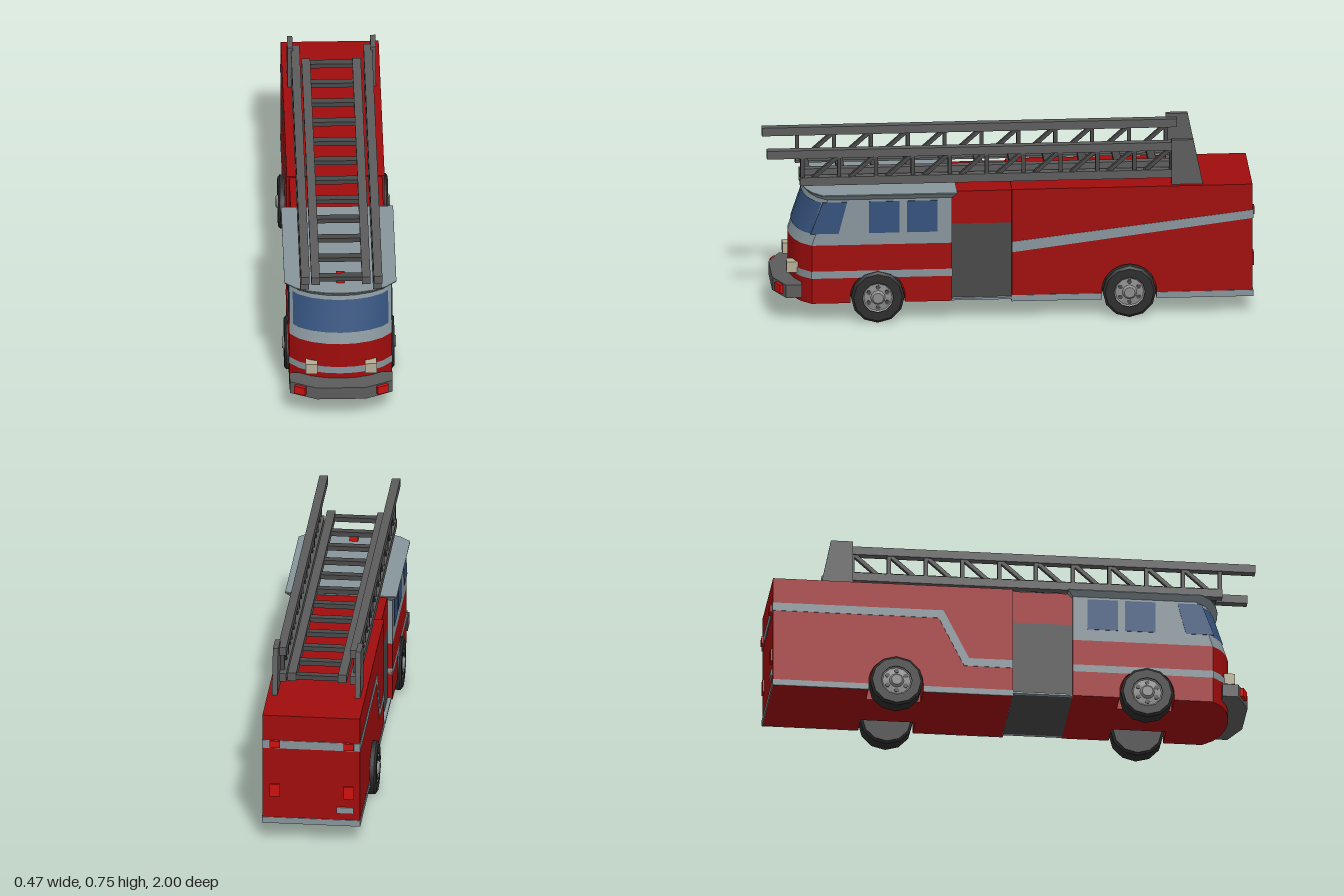
import * as THREE from 'three';
import { mergeVertices, toCreasedNormals } from 'three/addons/utils/BufferGeometryUtils.js';

const mat = (color) => new THREE.MeshStandardMaterial({ color });
const red = mat(0xa00c0c), silver = mat(0x87959b), dark = mat(0x484848), steel = mat(0x5c5c5c);
const glass = mat(0x34527c), rubber = mat(0x2c2c2c), rimGrey = mat(0x8c8c8c);
const lamp = mat(0xcc1010), lens = mat(0xb8ae96);

// Half outline of the cab nose, from the centre to the corner: [x, z]
const NOSE = [[0, 0.905], [0.06, 0.9], [0.12, 0.885], [0.17, 0.86], [0.21, 0.82]];
const ARCH = 0.112, AXLE_Y = 0.11, FRONT_AXLE = 0.55, REAR_AXLE = -0.48;

function noseZ(x) {
  const a = Math.abs(x);
  const i = Math.max(1, NOSE.findIndex((p) => p[0] >= a));
  const [x0, z0] = NOSE[i - 1], [x1, z1] = NOSE[i];
  return z0 + ((z1 - z0) * (a - x0)) / (x1 - x0);
}

// Cab outline seen from above, from left rear round the nose to right rear
function plan(dz = 0, sx = 1, back = 0.245) {
  const left = [[0.21 * sx, back], ...NOSE.slice(1).reverse().map(([x, z]) => [x * sx, z + dz])];
  return [...left, [0, NOSE[0][1] + dz], ...left.slice().reverse().map(([x, z]) => [-x, z])];
}

function add(parent, name, geometry, material) {
  const mesh = new THREE.Mesh(geometry, material);
  mesh.name = name;
  parent.add(mesh);
  return mesh;
}

// Box given by its limits on each axis
function box(parent, name, [x0, x1], [y0, y1], [z0, z1], material) {
  const g = new THREE.BoxGeometry(x1 - x0, y1 - y0, z1 - z0);
  g.translate((x0 + x1) / 2, (y0 + y1) / 2, (z0 + z1) / 2);
  return add(parent, name, g, material);
}

const toShape = (pts) => new THREE.Shape(pts.map(([a, b]) => new THREE.Vector2(a, b)));

// Side profile in (z, y), extruded across x
function sidePanel(parent, name, shape, x0, x1, material) {
  const g = new THREE.ExtrudeGeometry(shape, { depth: x1 - x0, bevelEnabled: false, curveSegments: 12 });
  g.rotateY(-Math.PI / 2).translate(x1, 0, 0);
  return add(parent, name, g, material);
}

// Outline in (x, z), extruded upwards
function floorPlan(parent, name, pts, y0, y1, material) {
  const g = new THREE.ExtrudeGeometry(toShape(pts.map(([x, z]) => [x, -z])), { depth: y1 - y0, bevelEnabled: false });
  g.rotateX(-Math.PI / 2).translate(0, y0, 0);
  return add(parent, name, toCreasedNormals(g, 0.5), material);
}

// Wall between two outlines at heights y0 and y1
function wall(parent, name, low, y0, high, y1, material, closed = true) {
  const n = low.length, pos = [], idx = [];
  low.forEach(([x, z]) => pos.push(x, y0, z));
  high.forEach(([x, z]) => pos.push(x, y1, z));
  for (let i = 0; i < (closed ? n : n - 1); i++) {
    const j = (i + 1) % n;
    idx.push(i, i + n, j, j, i + n, j + n);
  }
  const g = new THREE.BufferGeometry();
  g.setAttribute('position', new THREE.Float32BufferAttribute(pos, 3));
  g.setIndex(idx);
  return add(parent, name, toCreasedNormals(mergeVertices(g), 0.5), material);
}

// Rectangle in (z, y) with a wheel arch cut from its lower edge
function archShape(z0, z1, y0, y1, axle) {
  const s = new THREE.Shape();
  s.moveTo(z0, y0).lineTo(axle - ARCH, y0).lineTo(axle - ARCH, AXLE_Y);
  s.absarc(axle, AXLE_Y, ARCH, Math.PI, 0, true);
  s.lineTo(axle + ARCH, y0).lineTo(z1, y0).lineTo(z1, y1).lineTo(z0, y1);
  return s;
}

function buildCab() {
  const cab = new THREE.Group();
  cab.name = 'cab';
  // Lower shell, notched for the front wheels and filled with arched panels
  const outline = plan();
  const notch = [[0.21, 0.43], [0.1, 0.43], [0.1, 0.67], [0.21, 0.67]];
  const shell = [outline[0], ...notch, ...outline.slice(1, -1),
    ...notch.slice().reverse().map(([x, z]) => [-x, z]), outline[outline.length - 1]];
  floorPlan(cab, 'lowerCab', shell, 0.085, 0.335, red);
  for (const [x0, x1] of [[0.1, 0.21], [-0.21, -0.1]])
    sidePanel(cab, 'frontWheelArch', archShape(0.43, 0.67, 0.085, 0.335, FRONT_AXLE), x0, x1, red);
  wall(cab, 'cabStripe', plan(0.002, 1.01), 0.193, plan(0.002, 1.01), 0.224, silver);
  // Upper cab leaning back, then the flared roof
  wall(cab, 'upperCab', outline, 0.335, plan(-0.065), 0.53, silver);
  wall(cab, 'roofFlare', plan(-0.065), 0.53, plan(-0.045, 1.09, 0.225), 0.552, silver).material = silver;
  floorPlan(cab, 'roof', plan(-0.045, 1.09, 0.225), 0.552, 0.556, silver);
  // Windscreen follows the nose curve
  const xs = [0.195, 0.17, 0.12, 0.06, 0, -0.06, -0.12, -0.17, -0.195];
  const lean = (y) => xs.map((x) => [x, noseZ(x) + 0.004 - ((y - 0.335) / 0.195) * 0.065]);
  wall(cab, 'windscreen', lean(0.383), 0.383, lean(0.515), 0.515, glass, false);
  // Side windows
  const panes = [
    [[0.71, 0.385], [0.825, 0.385], [0.775, 0.52], [0.675, 0.52]],
    [[0.46, 0.385], [0.585, 0.385], [0.585, 0.52], [0.46, 0.52]],
    [[0.305, 0.385], [0.43, 0.385], [0.43, 0.52], [0.305, 0.52]],
  ];
  for (const pane of panes)
    for (const x of [0.209, -0.212]) sidePanel(cab, 'sideWindow', toShape(pane), x, x + 0.003, glass);
  // Bumper, lamps and beacon
  floorPlan(cab, 'bumper', [[0.21, 0.86], [0.21, 0.925], [0.1, 0.975], [-0.1, 0.975], [-0.21, 0.925], [-0.21, 0.86]],
    0.113, 0.168, steel);
  for (const s of [1, -1]) {
    const head = box(cab, 'headlight', [-0.024, 0.024], [0.2, 0.246], [-0.025, 0.025], lens);
    head.position.set(s * 0.121, 0, 0.893);
    const marker = box(cab, 'bumperLamp', [-0.024, 0.024], [0.126, 0.162], [-0.02, 0.02], lamp);
    marker.position.set(s * 0.163, 0, 0.94);
    marker.rotation.y = s * 0.42;
  }
  box(cab, 'beacon', [-0.017, 0.017], [0.553, 0.592], [0.75, 0.785], lamp);
  return cab;
}

function buildBody() {
  const body = new THREE.Group();
  body.name = 'body';
  // Pump bay between cab and body
  box(body, 'pumpPanel', [-0.19, 0.19], [0.085, 0.41], [0, 0.245], dark);
  box(body, 'pumpBayTop', [-0.19, 0.19], [0.41, 0.55], [0, 0.245], red);
  for (const [a, b] of [[0.19, 0.205], [-0.205, -0.19]]) box(body, 'sill', [a, b], [0.085, 0.093], [0, 0.245], silver);
  // Rear box with wheel arches
  box(body, 'bodyCore', [-0.1, 0.1], [0.075, 0.555], [-0.985, 0], red);
  for (const [x0, x1] of [[0.1, 0.2], [-0.2, -0.1]])
    sidePanel(body, 'bodySide', archShape(-0.985, 0, 0.075, 0.555, REAR_AXLE), x0, x1, red);
  // Silver skirt
  for (const x of [0.199, -0.202])
    for (const z of [[-0.987, REAR_AXLE - ARCH], [REAR_AXLE + ARCH, 0.002]])
      box(body, 'skirt', [x, x + 0.003], [0.074, 0.1], z, silver);
  for (const z of [-0.988, -0.001]) box(body, 'skirtEnd', [-0.202, 0.202], [0.074, 0.1], [z, z + 0.003], silver);
  // Stripes: stepped on the right, sloping on the left, level at the rear
  const stepped = [[-0.987, 0.41], [-0.305, 0.41], [-0.2, 0.2], [0, 0.2], [0, 0.235], [-0.18, 0.235],
    [-0.285, 0.445], [-0.987, 0.445]];
  sidePanel(body, 'rightStripe', toShape(stepped), -0.202, -0.199, silver);
  sidePanel(body, 'leftStripe', toShape([[-0.987, 0.41], [0, 0.285], [0, 0.33], [-0.987, 0.445]]), 0.199, 0.202, silver);
  box(body, 'rearStripe', [-0.202, 0.202], [0.41, 0.445], [-0.988, -0.984], silver);
  // Rear lamps and plate
  for (const x of [-0.155, 0.148]) {
    box(body, 'upperRearLamp', [x - 0.021, x + 0.021], [0.415, 0.445], [-0.996, -0.98], lamp);
    box(body, 'lowerRearLamp', [x - 0.021, x + 0.021], [0.195, 0.25], [-0.993, -0.98], lamp);
  }
  box(body, 'rearPlate', [-0.175, -0.105], [0.13, 0.157], [-0.992, -0.98], silver);
  return body;
}

// Wheel with its outer face towards +x
function buildWheel() {
  const wheel = new THREE.Group();
  wheel.name = 'wheel';
  const lathe = (name, pts, m) => {
    const g = new THREE.LatheGeometry(pts.map(([r, x]) => new THREE.Vector2(r, x)), 12);
    add(wheel, name, toCreasedNormals(g.rotateZ(-Math.PI / 2), 0.6), m);
  };
  lathe('tyre', [[0, 0.15], [0.1, 0.15], [0.11, 0.158], [0.11, 0.217], [0.1, 0.225], [0.064, 0.225], [0.06, 0.215]], rubber);
  lathe('rim', [[0.064, 0.223], [0.058, 0.218], [0.03, 0.222], [0.022, 0.233], [0, 0.233]], rimGrey);
  for (let i = 0; i < 6; i++) {
    const a = (i * Math.PI) / 3;
    const g = new THREE.CylinderGeometry(0.01, 0.01, 0.012, 6).rotateZ(Math.PI / 2);
    add(wheel, 'rimHole', g.translate(0.217, 0.043 * Math.cos(a), 0.043 * Math.sin(a)), dark);
  }
  return wheel;
}

function buildLadder() {
  const ladder = new THREE.Group();
  ladder.name = 'ladder';
  for (const s of [1, -1]) {
    const span = (a, b) => (s > 0 ? [a, b] : [-b, -a]);
    // Rear mount and rails
    const mount = toShape([[-0.785, 0.55], [-0.655, 0.55], [-0.655, 0.746], [-0.745, 0.746]]);
    sidePanel(ladder, 'ladderMount', mount, ...span(0.159, 0.181), steel);
    box(ladder, 'upperRail', span(0.131, 0.166), [0.696, 0.731], [-0.7, 1], steel);
    box(ladder, 'lowerRail', span(0.131, 0.166), [0.579, 0.614], [-0.7, 0.865], steel);
    box(ladder, 'innerRail', span(0.086, 0.121), [0.602, 0.637], [-0.74, 0.865], steel);
    // Truss posts and diagonals
    for (let i = 0; i < 11; i++) {
      const z = 0.855 - i * 0.151;
      box(ladder, 'trussPost', span(0.141, 0.161), [0.61, 0.7], [z - 0.008, z + 0.008], dark);
      if (i === 0) continue;
      const brace = box(ladder, 'trussBrace', [-0.009, 0.009], [-0.008, 0.008], [-0.07, 0.07], dark);
      brace.position.set(s * 0.151, 0.655, z + 0.055);
      brace.rotation.x = Math.atan2(0.09, 0.1);
    }
  }
  // Rungs
  for (let i = 0; i < 12; i++) {
    const z = -0.725 + i * 0.1418;
    box(ladder, 'rung', [-0.09, 0.09], [0.609, 0.629], [z - 0.016, z + 0.016], dark);
  }
  return ladder;
}

export function createModel() {
  const model = new THREE.Group();
  model.name = 'fireEngine';
  model.add(buildCab(), buildBody(), buildLadder());
  for (const z of [FRONT_AXLE, REAR_AXLE])
    for (const turn of [0, Math.PI]) {
      const wheel = buildWheel();
      wheel.position.set(0, AXLE_Y, z);
      wheel.rotation.y = turn;
      model.add(wheel);
    }
  return model;
}
